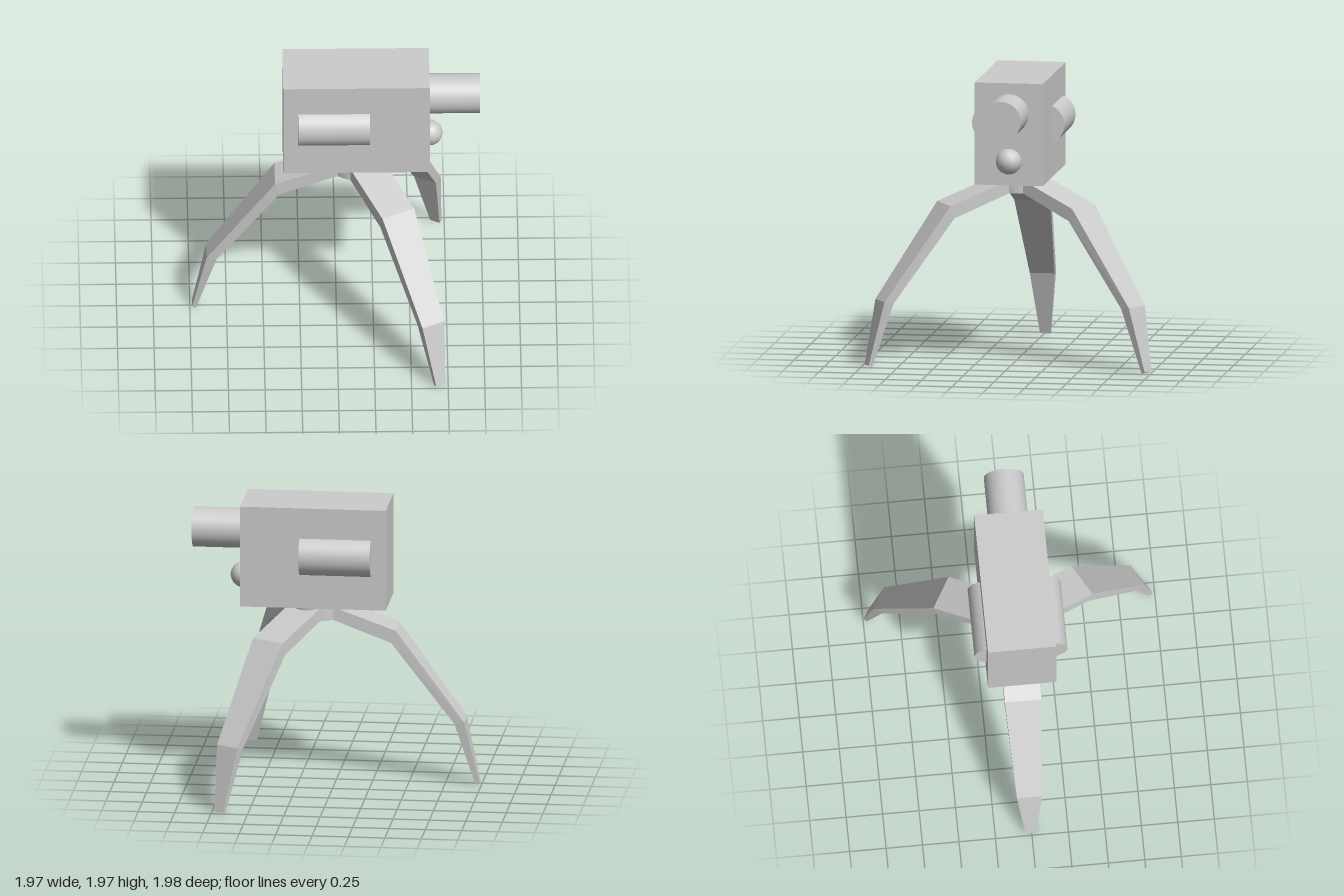
import * as THREE from 'three';

const material = new THREE.MeshStandardMaterial({ color: 0xcccccc });
const flatMaterial = new THREE.MeshStandardMaterial({ color: 0xcccccc, flatShading: true });
const HUB_X = 0.138;
const MID_Z = -0.006;

// Leg stations: [upper radius, upper y, lower radius, lower y, half width]
const LEG = [
  [0.128, 1.25, 0.128, 1.16, 0.125],
  [0.558, 1.095, 0.528, 1.008, 0.125],
  [1.025, 0.45, 0.958, 0.437, 0.086],
  [1.123, 0.01, 1.096, 0, 0.037],
];

// Lofts a four-sided leg along +x through the stations, closed at both ends
function legGeometry() {
  const rings = LEG.map(([ru, yu, rl, yl, w]) => [[ru, yu, w], [ru, yu, -w], [rl, yl, -w], [rl, yl, w]]);
  const pos = [];
  const quad = (a, b, c, d) => [a, b, c, a, c, d].forEach((p) => pos.push(...p));
  for (let s = 0; s < rings.length - 1; s++) {
    for (let i = 0; i < 4; i++) {
      const j = (i + 1) % 4;
      quad(rings[s][i], rings[s + 1][i], rings[s + 1][j], rings[s][j]);
    }
  }
  quad(...rings[0]);
  quad(...rings[rings.length - 1].slice().reverse());
  const geometry = new THREE.BufferGeometry();
  geometry.setAttribute('position', new THREE.Float32BufferAttribute(pos, 3));
  geometry.computeVertexNormals();
  return geometry;
}

export function createModel() {
  const model = new THREE.Group();
  const add = (name, geometry, x, y, z, mat = material) => {
    const mesh = new THREE.Mesh(geometry, mat);
    mesh.name = name;
    mesh.position.set(x, y, z + MID_Z);
    model.add(mesh);
    return mesh;
  };
  const cylinderX = (radius, length) => new THREE.CylinderGeometry(radius, radius, length, 48).rotateZ(-Math.PI / 2);

  // Box housing with its front barrel and small eye
  add('body', new THREE.BoxGeometry(1, 0.705, 0.47), 0.135, 1.6175, 0);
  add('barrel', cylinderX(0.137, 0.365), 0.7975, 1.758, 0);
  add('eye', new THREE.IcosahedronGeometry(0.09, 2), 0.637, 1.43, 0);

  // Half-sunk side canisters
  for (const side of [1, -1]) {
    add(side > 0 ? 'frontCanister' : 'backCanister', cylinderX(0.14, 0.49), -0.018, 1.628, side * 0.179);
  }

  // Round hub under the housing, with three evenly spread legs
  add('hub', new THREE.CylinderGeometry(0.179, 0.179, 0.11, 48), HUB_X, 1.215, 0);
  const leg = legGeometry();
  [60, 180, 300].forEach((angle, i) => {
    add(['backLeg', 'sideLeg', 'frontLeg'][i], leg, HUB_X, 0, 0, flatMaterial).rotation.y = THREE.MathUtils.degToRad(angle);
  });

  return model;
}
